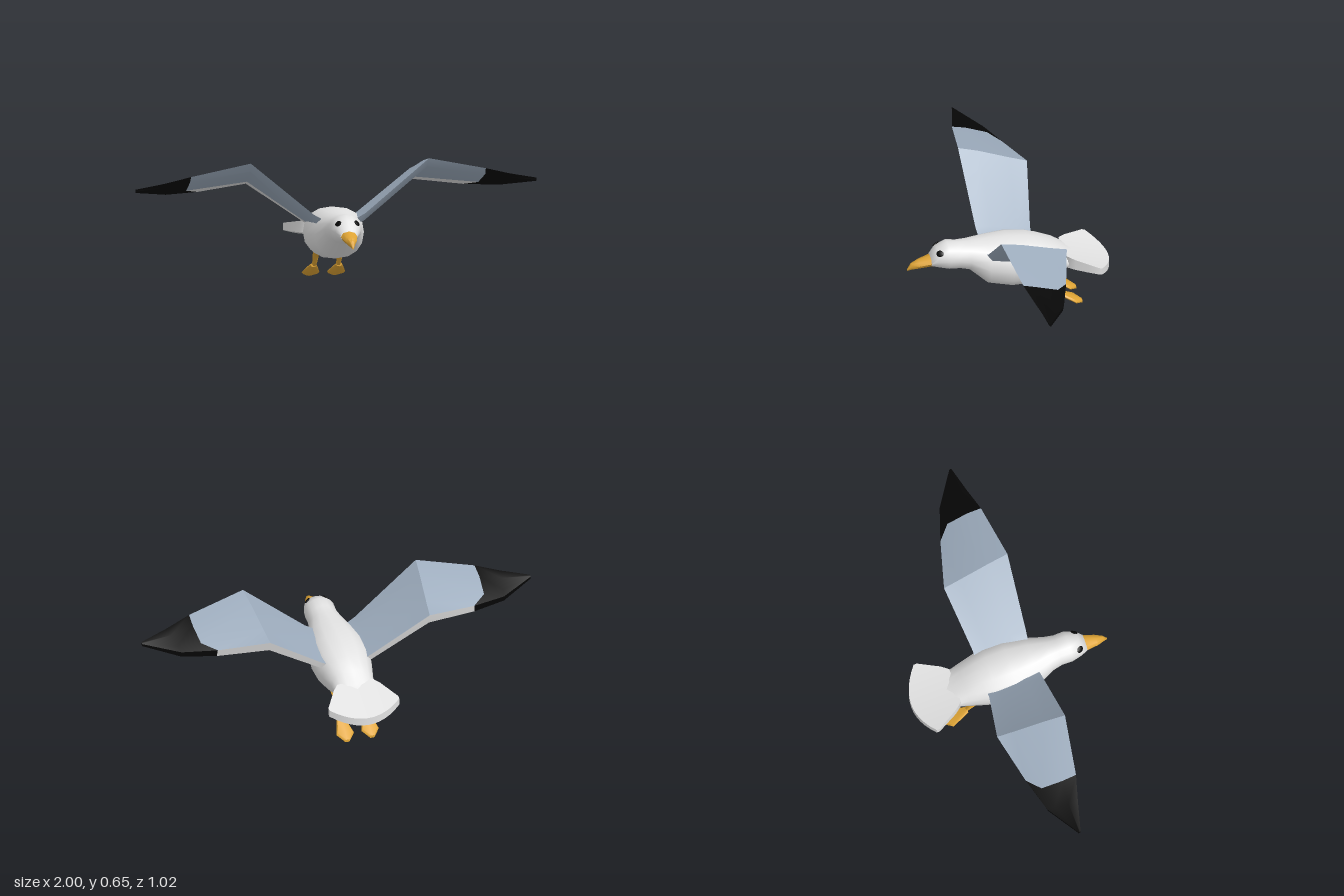
import * as THREE from 'three';
import { toCreasedNormals } from 'three/addons/utils/BufferGeometryUtils.js';

const mat = (name, color) => {
  const m = new THREE.MeshStandardMaterial({ color });
  m.name = name;
  return m;
};

// Skin a list of equal-length rings; pick(i, j) gives the material index of each quad.
function loft(rings, pick = () => 0, crease = 0.9) {
  const n = rings[0].length, tris = [];
  for (let i = 0; i < rings.length - 1; i++) {
    for (let j = 0; j < n; j++) {
      const k = (j + 1) % n, g = pick(i, j);
      const a = rings[i][j], b = rings[i][k], c = rings[i + 1][k], d = rings[i + 1][j];
      tris.push([g, a, b, c], [g, a, c, d]);
    }
  }
  // end caps
  const last = rings.length - 1;
  [[rings[0], true, 0], [rings[last], false, last - 1]].forEach(([r, flip, i]) => {
    const mid = r.reduce((s, p) => s.add(p), new THREE.Vector3()).divideScalar(n);
    for (let j = 0; j < n; j++) {
      const p = r[j], q = r[(j + 1) % n];
      tris.push([pick(i, j), mid, flip ? q : p, flip ? p : q]);
    }
  });
  // turn all faces outward
  const cross = new THREE.Vector3();
  const volume = tris.reduce((s, [, a, b, c]) => s + a.dot(cross.crossVectors(b, c)), 0);
  tris.sort((s, t) => s[0] - t[0]);
  const pos = [];
  for (const [, a, b, c] of tris) {
    for (const p of volume < 0 ? [a, c, b] : [a, b, c]) pos.push(p.x, p.y, p.z);
  }
  const geo = new THREE.BufferGeometry();
  geo.setAttribute('position', new THREE.Float32BufferAttribute(pos, 3));
  for (let g = 0; g < 3; g++) {
    const start = tris.findIndex((t) => t[0] === g);
    const count = tris.filter((t) => t[0] === g).length;
    if (count) geo.addGroup(start * 3, count * 3, g);
  }
  return toCreasedNormals(geo, crease);
}

// Oval ring across z; a power below 1 squares it off.
function oval([z, top, bottom, w, power = 1], sides, cx = 0) {
  const bend = (v) => Math.sign(v) * Math.abs(v) ** power;
  return Array.from({ length: sides }, (_, j) => {
    const t = (j / sides) * Math.PI * 2;
    return new THREE.Vector3(
      cx + w * bend(Math.cos(t)),
      (top + bottom) / 2 + ((top - bottom) / 2) * bend(Math.sin(t)), z);
  });
}

// Tail slice at x: a flat plate sloping backwards with a rounded rear edge
function tailRing(x) {
  const u = Math.abs(x) / 0.18;
  const front = u > 0.55 ? -0.28 - (u - 0.55) * 0.31 : -0.28;
  const back = -0.508 + 0.073 * u * u;
  const top = (z) => 0.283 + (z + 0.3) * 0.3 + 0.012 * u * u;
  const bottom = (z) => 0.218 + (z + 0.3) * 0.18 + 0.025 * u * u;
  const mid = (front + back) / 2;
  return [[top, front], [top, mid], [top, back], [bottom, back], [bottom, mid], [bottom, front]]
    .map(([y, z]) => new THREE.Vector3(x, y(z), z));
}

// Wing stations: leading edge, trailing edge, front and rear thickness, outward shift of the middle
const WING = [
  [[0.07, 0.355, 0.125], [0.07, 0.315, -0.145], 0.035, 0.035, 0],
  [[0.13, 0.39, 0.13], [0.13, 0.345, -0.147], 0.035, 0.04, 0],
  [[0.445, 0.655, 0.14], [0.41, 0.55, -0.2], 0.035, 0.055, 0],
  [[0.735, 0.59, 0.1], [0.66, 0.515, -0.135], 0.025, 0.042, 0.05],
  [[0.86, 0.555, 0.068], [0.83, 0.503, -0.082], 0.018, 0.03, 0],
  [[1, 0.524, 0.035], [1, 0.518, 0.025], 0.01, 0.012, 0],
];

function wingRing([le, te, front, rear, shift], side) {
  const at = (f, drop, dx = 0) => new THREE.Vector3(
    side * (le[0] + (te[0] - le[0]) * f + dx),
    le[1] + (te[1] - le[1]) * f - drop,
    le[2] + (te[2] - le[2]) * f);
  return [
    at(0, 0), at(0.3, -front * 0.15, shift * 0.5), at(0.75, 0, shift), at(1, 0),
    at(0.96, rear), at(0.75, rear, shift), at(0.1, front, shift * 0.2),
  ];
}

export function createModel() {
  const white = mat('white feathers', 0xe2e2e2);
  const grey = mat('blue grey feathers', 0x9dacbd);
  const black = mat('black', 0x060606);
  const orange = mat('orange', 0xe0a535);

  const model = new THREE.Group();
  model.name = 'seabird';
  const add = (name, geo, material, parent = model) => {
    const m = new THREE.Mesh(geo, material);
    m.name = name;
    parent.add(m);
    return m;
  };

  // head and body in one skin: z, top, bottom, half width, squareness
  const body = [
    [0.392, 0.348, 0.295, 0.042], [0.36, 0.392, 0.284, 0.062], [0.305, 0.414, 0.268, 0.078],
    [0.25, 0.405, 0.264, 0.077], [0.2, 0.402, 0.252, 0.088], [0.11, 0.404, 0.168, 0.122, 0.9],
    [0, 0.402, 0.145, 0.145, 0.88], [-0.1, 0.388, 0.145, 0.142, 0.88],
    [-0.16, 0.37, 0.155, 0.128, 0.88], [-0.24, 0.335, 0.178, 0.108, 0.88],
    [-0.3, 0.285, 0.214, 0.095, 0.85], [-0.36, 0.262, 0.208, 0.085, 0.8],
  ];
  add('body', loft(body.map((r) => oval(r, 16))), white);

  // fanned tail
  const tailX = Array.from({ length: 13 }, (_, i) => (i / 6 - 1) * 0.18);
  add('tail', loft(tailX.map(tailRing)), white);

  // beak hooked down at the tip
  const beak = [
    [0.385, 0.348, 0.293, 0.043], [0.45, 0.329, 0.285, 0.029],
    [0.487, 0.315, 0.278, 0.014], [0.507, 0.284, 0.274, 0.003],
  ];
  add('beak', loft(beak.map((r) => oval(r, 8))), orange);

  for (const side of [1, -1]) {
    const label = side > 0 ? 'left' : 'right';

    // wing: grey with a white trailing underside and a black tip
    const wing = loft(WING.map((s) => wingRing(s, side)),
      (i, j) => (i >= 3 ? 2 : j === 3 || j === 4 ? 1 : 0), 0.75);
    add(label + 'Wing', wing, [grey, white, black]);

    // eye: thin disc lying on the head
    const eye = add(label + 'Eye', new THREE.SphereGeometry(1, 10, 6), black);
    eye.scale.set(0.019, 0.016, 0.005);
    eye.position.set(side * 0.047, 0.379, 0.352);
    eye.lookAt(side * 0.747, 1.079, 0.852);

    // leg trailing backwards
    const leg = new THREE.Group();
    leg.name = label + 'Leg';
    model.add(leg);
    const legRings = [
      [-0.12, 0.175, 0.158, 0.02], [-0.15, 0.168, 0.145, 0.021], [-0.198, 0.147, 0.116, 0.016],
      [-0.22, 0.115, 0.084, 0.013], [-0.245, 0.085, 0.063, 0.012],
    ];
    add('shin', loft(legRings.map((r) => oval(r, 6, side * 0.06))), orange, leg);

    // webbed foot: a flat fan
    const footRings = [
      [-0.238, 0.086, 0.064, 0.016], [-0.265, 0.07, 0.048, 0.026, 0.7],
      [-0.325, 0.036, 0.014, 0.045, 0.6], [-0.362, 0.014, 0, 0.014, 0.6],
    ];
    add('foot', loft(footRings.map((r) => oval(r, 8, side * 0.064))), orange, leg);
  }
  return model;
}
